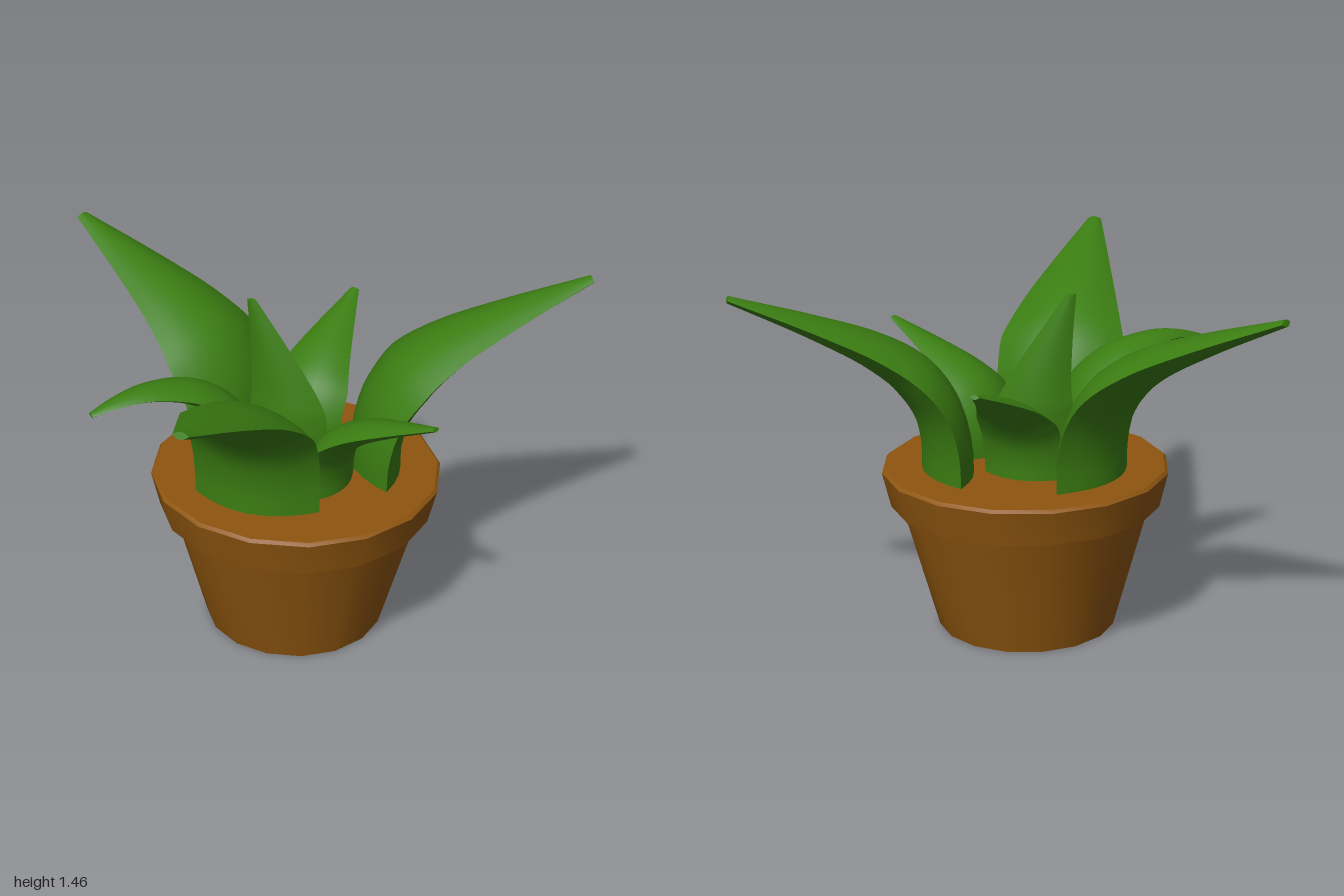
import * as THREE from 'three';
import { toCreasedNormals } from 'three/addons/utils/BufferGeometryUtils.js';

const SOIL = 0.67;
// Spine profiles: [distance outward, height above soil]
const ARCHED = [[0, 0], [0.005, 0.14], [0.045, 0.29], [0.135, 0.42], [0.285, 0.53], [0.515, 0.64], [0.845, 0.775]];
const DROOPING = [[0, 0], [0.005, 0.18], [0.05, 0.39], [0.16, 0.55], [0.34, 0.67], [0.62, 0.73], [0.83, 0.71], [0.99, 0.665]];

// Leaf with a lens-shaped cross-section swept along a spine; side is its width direction
function leafGeometry(spine, side, scale) {
  const curve = new THREE.CatmullRomCurve3(spine);
  const rows = 28, half = 8, ring = half * 2;
  const pos = [], idx = [];
  for (let i = 0; i <= rows; i++) {
    const t = i / rows;
    const p = curve.getPointAt(t);
    const n = new THREE.Vector3().crossVectors(side, curve.getTangentAt(t)).normalize();
    const taper = Math.max(0, (t - 0.35) / 0.65);
    const w = scale * (t < 0.35 ? 0.255 + 0.03 * t : THREE.MathUtils.lerp(0.265, 0.03, taper));
    const h = scale * THREE.MathUtils.lerp(0.1 - 0.02 * t, 0.014, taper);
    for (let k = 0; k < ring; k++) {
      const upper = k < half;
      const u = upper ? -1 + 2 * k / half : 1 - 2 * (k - half) / half;
      const lift = (upper ? 1 : -1) * h * (1 - u * u);
      const v = p.clone().addScaledVector(side, u * w).addScaledVector(n, lift);
      pos.push(v.x, v.y, v.z);
    }
  }
  for (let i = 0; i < rows; i++) {
    for (let k = 0; k < ring; k++) {
      const a = i * ring + k, b = i * ring + (k + 1) % ring;
      idx.push(a, b, b + ring, a, b + ring, a + ring);
    }
  }
  // Blunt tip cap
  const last = rows * ring;
  const tip = curve.getPointAt(1);
  pos.push(tip.x, tip.y, tip.z);
  for (let k = 0; k < ring; k++) idx.push(last + ring, last + k, last + (k + 1) % ring);
  const geo = new THREE.BufferGeometry();
  geo.setAttribute('position', new THREE.Float32BufferAttribute(pos, 3));
  geo.setIndex(idx);
  return toCreasedNormals(geo, 0.7);
}

export function createModel() {
  const model = new THREE.Group();
  model.name = 'pottedPlant';
  const green = new THREE.MeshStandardMaterial({ color: 0x3b7d12 });
  const clay = new THREE.MeshStandardMaterial({ color: 0x8f560f });

  const add = (name, geometry, material) => {
    const mesh = new THREE.Mesh(geometry, material);
    mesh.name = name;
    model.add(mesh);
    return mesh;
  };

  // Pot with a stepped rim and a flat top
  const profile = [[0, 0], [0.365, 0], [0.51, 0.53], [0.553, 0.53], [0.587, 0.673], [0.575, 0.685], [0, 0.685]]
    .map(([r, y]) => new THREE.Vector2(r, y));
  const potGeo = toCreasedNormals(new THREE.LatheGeometry(profile, 16), 0.5);
  add('pot', potGeo, clay).position.set(0.19, 0, -0.1);

  // Arching leaves: name, base x/z, tip x/z, scale, spine profile
  const leaves = [
    ['rightLargeLeaf', -0.135, -0.1, -0.98, -0.09, 1, ARCHED],
    ['frontLargeLeaf', 0.25, 0.21, 0.575, 0.985, 1, ARCHED],
    ['backLargeLeaf', 0.4, -0.345, 0.955, -0.98, 1, ARCHED],
    ['leftSmallLeaf', 0.385, -0.05, 0.925, -0.02, 0.64, ARCHED],
    ['backSmallLeaf', 0.1, -0.24, -0.04, -0.745, 0.64, ARCHED],
    ['frontSmallLeaf', 0.05, 0.07, -0.2, 0.66, 0.64, DROOPING],
  ];
  for (const [name, bx, bz, tx, tz, scale, points] of leaves) {
    const dir = new THREE.Vector3(tx - bx, 0, tz - bz);
    const reach = points[points.length - 1][0];
    const spine = points.map(([r, y]) =>
      new THREE.Vector3(bx, SOIL + y * scale, bz).addScaledVector(dir, r / reach));
    const side = new THREE.Vector3(-dir.z, 0, dir.x).normalize();
    add(name, leafGeometry(spine, side, scale), green);
  }

  // Upright centre leaf, leaning sideways towards its tip
  const centre = [[0.16, SOIL, -0.09], [0.16, 0.85, -0.09], [0.14, 1.0, -0.085], [0.08, 1.2, -0.06], [0.01, 1.4, -0.03]]
    .map((p) => new THREE.Vector3(...p));
  add('centreLeaf', leafGeometry(centre, new THREE.Vector3(0.92, 0, -0.39), 0.6), green);

  return model;
}
